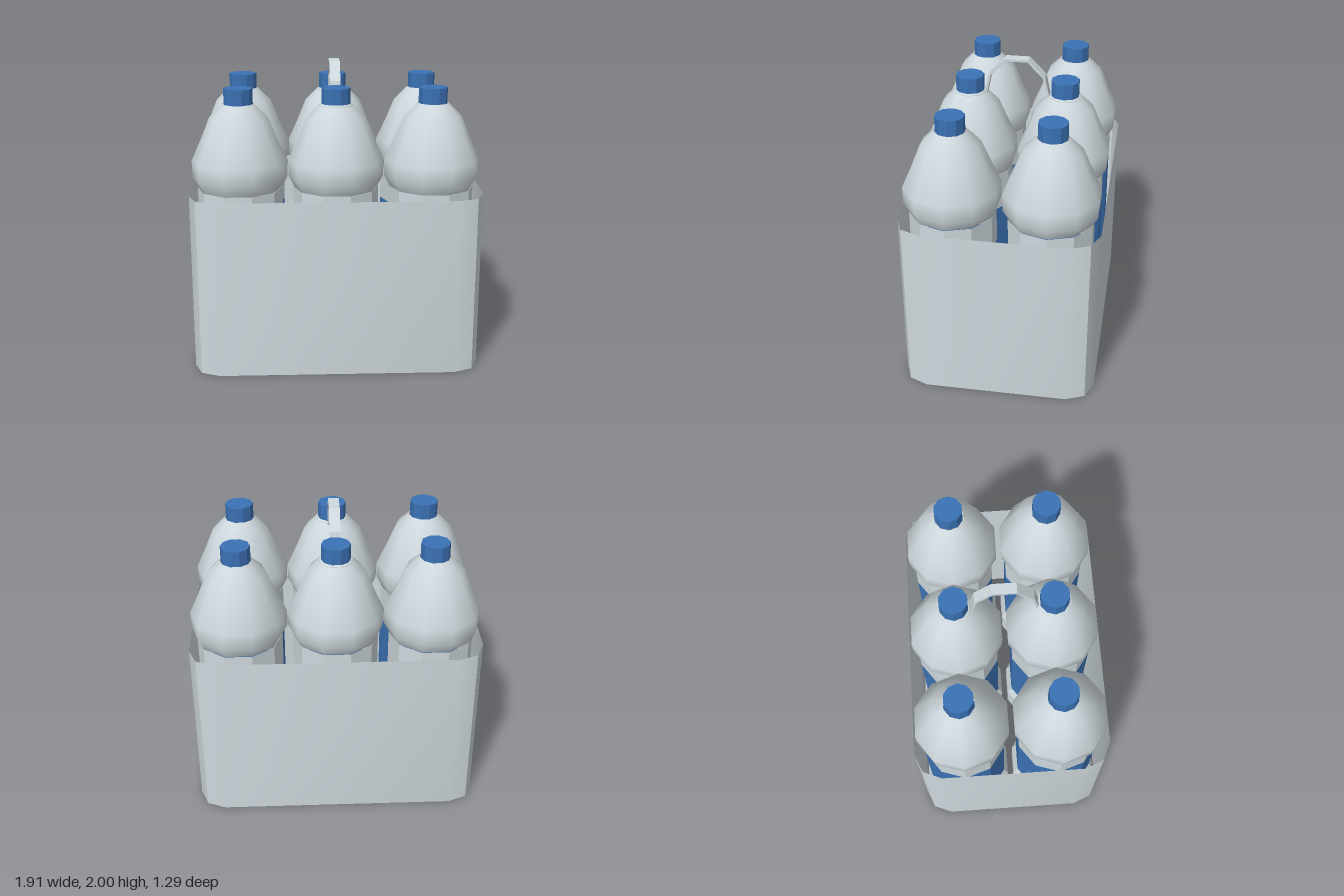
import * as THREE from 'three';
import { toCreasedNormals } from 'three/addons/utils/BufferGeometryUtils.js';

const SIDES = 10;

// Turned shell with a corner on the x axis; points run from bottom to top
function turned(profile, flat) {
  const pts = profile.map(([r, y]) => new THREE.Vector2(r, y));
  const geo = new THREE.LatheGeometry(pts, SIDES, Math.PI / 2);
  if (!flat) return geo;
  const faceted = geo.toNonIndexed();
  faceted.computeVertexNormals();
  return faceted;
}

function part(name, geo, mat, parent) {
  const mesh = new THREE.Mesh(geo, mat);
  mesh.name = name;
  parent.add(mesh);
  return mesh;
}

// Open sleeve with rounded corners of two facets each
function sleeveGeometry(hx, hz, height, r) {
  const ring = [];
  const corners = [[1, 1], [-1, 1], [-1, -1], [1, -1]];
  corners.forEach(([sx, sz], q) => {
    for (let k = 0; k <= 2; k++) {
      const a = (q + k / 2) * Math.PI / 2;
      ring.push([sx * (hx - r) + r * Math.cos(a), sz * (hz - r) + r * Math.sin(a)]);
    }
  });
  const pos = [], index = [], n = ring.length;
  ring.forEach(([x, z]) => pos.push(x, 0, z, x, height, z));
  for (let i = 0; i < n; i++) {
    const a = 2 * i, b = 2 * ((i + 1) % n);
    index.push(a, a + 1, b, b, a + 1, b + 1);
  }
  const geo = new THREE.BufferGeometry();
  geo.setAttribute('position', new THREE.Float32BufferAttribute(pos, 3));
  geo.setIndex(index);
  return toCreasedNormals(geo, Math.PI / 6);
}

export function createModel() {
  const model = new THREE.Group();
  model.name = 'bottleSixPack';

  const grey = new THREE.MeshStandardMaterial({ color: 0xced8dd, side: THREE.DoubleSide });
  grey.name = 'pale grey';
  const blue = new THREE.MeshStandardMaterial({ color: 0x3b72b4, side: THREE.DoubleSide });
  blue.name = 'cap blue';

  // Carton sleeve, open above and below
  part('cartonSleeve', sleeveGeometry(0.955, 0.643, 1.19, 0.175), grey, model);

  // Bottle pieces shared by all six
  const base = turned([[0.31, 0], [0.31, 0.2], [0.28, 0.27]], true);
  const label = turned([[0.28, 0.27], [0.28, 0.95]], true);
  const waist = turned([[0.28, 0.95], [0.28, 1.21]], true);
  const shoulder = turned([[0.275, 1.21], [0.312, 1.28], [0.314, 1.39], [0.25, 1.53],
    [0.19, 1.676], [0.1, 1.765]], false);
  const cap = new THREE.CylinderGeometry(0.094, 0.094, 0.105, SIDES, 1, false, Math.PI / 2)
    .toNonIndexed();
  cap.computeVertexNormals();
  cap.translate(0, 1.8125, 0);

  for (const x of [-0.63, 0, 0.63]) {
    for (const z of [-0.317, 0.317]) {
      const bottle = new THREE.Group();
      bottle.name = 'bottle';
      bottle.position.set(x, 0, z);
      part('bottleBase', base, grey, bottle);
      part('bottleLabel', label, blue, bottle);
      part('bottleWaist', waist, grey, bottle);
      part('bottleShoulder', shoulder, grey, bottle);
      part('bottleCap', cap, blue, bottle);
      model.add(bottle);
    }
  }

  // Carrying handle: faceted strap joining two neck collars
  const handle = new THREE.Group();
  handle.name = 'handle';
  const outer = [[0.217, 1.745], [0.187, 1.885], [0.078, 2]];
  const inner = [[0.2, 1.745], [0.172, 1.878], [0.07, 1.984]];
  const mirrored = (list) => [...list, ...list.map(([z, y]) => [-z, y]).reverse()];
  const outline = [...mirrored(outer), ...mirrored(inner).reverse()];
  const strap = new THREE.ExtrudeGeometry(
    new THREE.Shape(outline.map(([z, y]) => new THREE.Vector2(z, y))),
    { depth: 0.07, bevelEnabled: false });
  strap.translate(0, 0, -0.035).rotateY(-Math.PI / 2);
  part('handleStrap', strap, grey, handle);

  const collar = turned([[0.09, 1.743], [0.112, 1.743], [0.112, 1.756], [0.09, 1.756]], true);
  for (const z of [-0.317, 0.317]) part('neckCollar', collar, grey, handle).position.z = z;
  model.add(handle);

  return model;
}
